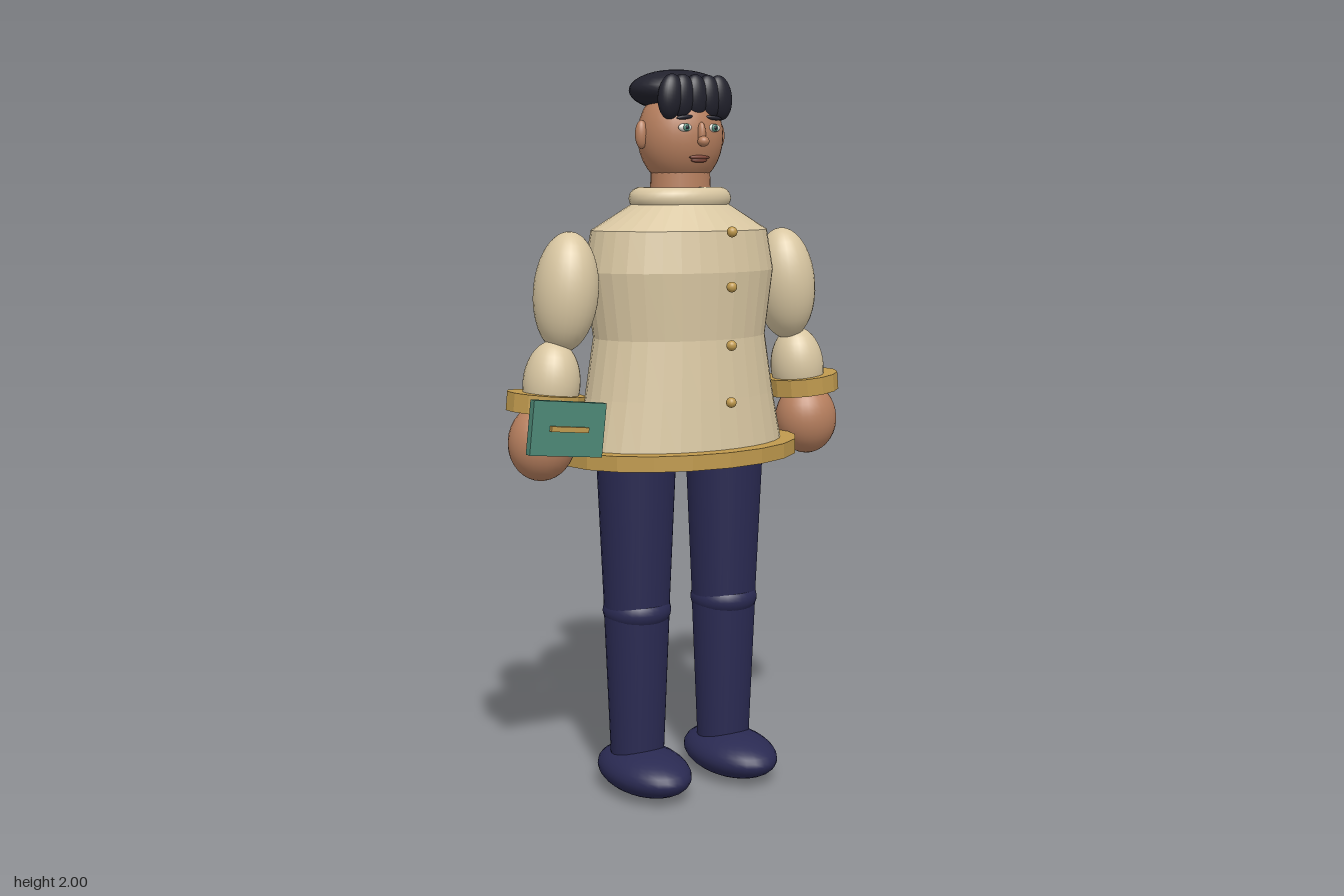
import * as THREE from 'three';

export function createModel() {
  const model = new THREE.Group();
  model.name = 'figure';
  const colour = (name, hex, flat = false) => {
    const m = new THREE.MeshStandardMaterial({ color: hex });
    m.name = name;
    m.flatShading = flat;
    return m;
  };
  const cream = colour('cream sleeve', 0xd9c7a2);
  const tunic = colour('cream tunic', 0xd9c7a2, true);
  const gold = colour('gold', 0xc09a4e, true);
  const skin = colour('skin', 0xb8805f);
  const navy = colour('navy', 0x2a2a52);
  const black = colour('black hair', 0x22222d);
  const teal = colour('teal', 0x4d8876);
  const white = colour('eye white', 0xe8e4da);
  const lips = colour('lips', 0x7d4638);
  tunic.side = THREE.DoubleSide;

  const add = (name, geo, mat, x, y, z, parent = model) => {
    const mesh = new THREE.Mesh(geo, mat);
    mesh.name = name;
    mesh.position.set(x, y, z);
    parent.add(mesh);
    return mesh;
  };
  const ball = (name, mat, p, r, tilt = 0, parent = model) => {
    const mesh = add(name, new THREE.SphereGeometry(1, 28, 18), mat, ...p, parent);
    mesh.scale.set(...r);
    mesh.rotation.z = tilt;
    return mesh;
  };

  // Tunic: elliptical rings, each [y, half width, half depth]
  const rings = [[0.947, 0.001, 0.001], [0.947, 0.318, 0.213], [1.12, 0.282, 0.198], [1.28, 0.256, 0.184],
    [1.46, 0.281, 0.197], [1.57, 0.262, 0.181], [1.64, 0.14, 0.112], [1.645, 0.001, 0.001]];
  const body = new THREE.LatheGeometry(rings.map(r => new THREE.Vector2(r[1], r[0])), 32);
  const pos = body.attributes.position;
  for (let i = 0; i < pos.count; i++) {
    const r = rings[i % rings.length];
    pos.setZ(i, pos.getZ(i) * r[2] / r[1]);
  }
  body.computeVertexNormals();
  add('tunic', body, tunic, 0, 0, -0.005);

  // Hem band
  const hemProfile = [[0.29, 0.943], [0.357, 0.943], [0.357, 0.985], [0.29, 0.985], [0.29, 0.943]];
  const hem = add('hem', new THREE.LatheGeometry(hemProfile.map(p => new THREE.Vector2(...p)), 20), gold, 0, 0, -0.007);
  hem.scale.z = 0.72;

  // Collar and neck
  const collar = add('collar', new THREE.TorusGeometry(0.115, 0.034, 14, 32).rotateX(Math.PI / 2), cream, 0, 1.655, -0.004);
  collar.scale.set(1, 0.9, 0.78);
  add('neck', new THREE.CylinderGeometry(0.083, 0.088, 0.16, 24), skin, 0, 1.68, -0.003).scale.z = 0.88;

  // Front buttons
  [1.12, 1.272, 1.426, 1.57].forEach(y => ball('button', gold, [0, y, 0.252], [0.014, 0.014, 0.014]));

  // Head and face
  const head = new THREE.Group();
  head.name = 'head';
  model.add(head);
  ball('skull', skin, [0, 1.822, -0.003], [0.121, 0.138, 0.106], 0, head);
  ball('noseBridge', skin, [0, 1.825, 0.103], [0.011, 0.032, 0.013], 0, head);
  ball('noseTip', skin, [0, 1.806, 0.113], [0.016, 0.014, 0.016], 0, head);
  ball('upperLip', lips, [0, 1.764, 0.093], [0.032, 0.006, 0.009], 0, head);
  ball('lowerLip', lips, [0, 1.756, 0.091], [0.025, 0.006, 0.009], 0, head);
  for (const s of [-1, 1]) {
    ball('ear', skin, [s * 0.123, 1.825, -0.003], [0.018, 0.038, 0.016], 0, head);
    ball('eye', white, [s * 0.045, 1.842, 0.093], [0.021, 0.011, 0.009], 0, head);
    ball('iris', teal, [s * 0.045, 1.842, 0.1], [0.01, 0.01, 0.005], 0, head);
    ball('pupil', black, [s * 0.045, 1.842, 0.104], [0.005, 0.005, 0.003], 0, head);
    ball('eyebrow', black, [s * 0.046, 1.869, 0.092], [0.025, 0.006, 0.007], -s * 0.1, head);
  }

  // Hair cap and fringe
  ball('hairCap', black, [0, 1.944, -0.02], [0.137, 0.056, 0.113], 0, head);
  [-0.077, -0.042, 0, 0.042, 0.077].forEach(x =>
    ball('fringe', black, [x, 1.923, 0.072], [0.037, 0.06, 0.027], x * 1.5, head));

  // Arms and legs
  for (const s of [-1, 1]) {
    const arm = new THREE.Group();
    arm.name = s > 0 ? 'leftArm' : 'rightArm';
    model.add(arm);
    ball('upperSleeve', cream, [s * 0.355, 1.411, -0.007], [0.086, 0.16, 0.092], s * 0.1, arm);
    ball('lowerSleeve', cream, [s * 0.402, 1.17, -0.005], [0.077, 0.115, 0.077], s * 0.1, arm);
    const cuff = add('cuff', new THREE.CylinderGeometry(0.107, 0.107, 0.05, 14), gold, s * 0.42, 1.12, -0.006, arm);
    cuff.rotation.z = s * 0.1;
    cuff.scale.z = 0.95;
    ball('hand', skin, [s * 0.434, 1.016, -0.003], [0.092, 0.104, 0.084], s * 0.1, arm);

    const leg = new THREE.Group();
    leg.name = s > 0 ? 'leftLeg' : 'rightLeg';
    leg.position.x = s * 0.145;
    model.add(leg);
    add('thigh', new THREE.CylinderGeometry(0.113, 0.093, 0.45, 28), navy, 0, 0.745, 0, leg).scale.z = 0.94;
    add('shin', new THREE.CylinderGeometry(0.094, 0.076, 0.44, 28), navy, 0, 0.31, 0, leg).scale.z = 0.94;
    ball('knee', navy, [0, 0.52, 0], [0.096, 0.06, 0.096], 0, leg);
    ball('shoe', navy, [0, 0.066, 0.037], [0.113, 0.064, 0.177], 0, leg);
  }

  // Small case held at the right hand
  const held = new THREE.Group();
  held.name = 'heldCase';
  held.position.set(-0.423, 1.066, 0.117);
  held.rotation.z = -0.11;
  model.add(held);
  add('casePanel', new THREE.BoxGeometry(0.213, 0.143, 0.022), teal, 0, 0, 0, held);
  add('caseStrip', new THREE.BoxGeometry(0.11, 0.014, 0.011), gold, 0, 0, 0.0165, held);

  return model;
}
